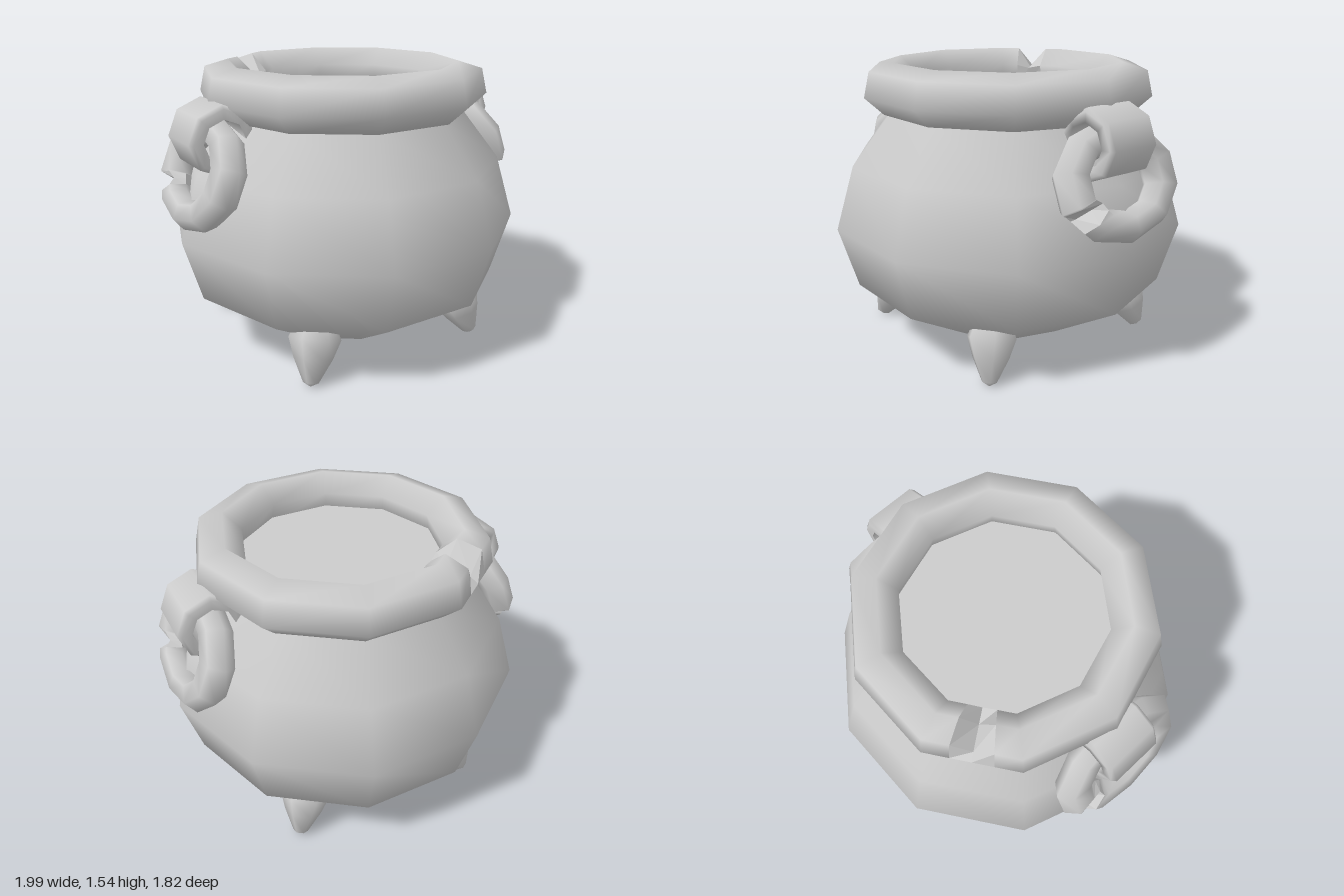
import * as THREE from 'three';

const SIDES = 10, TUBE = 6, DEG = Math.PI / 180;
const grey = new THREE.MeshStandardMaterial({ color: 0xcccccc, side: THREE.DoubleSide });

function mesh(name, geometry) {
  const m = new THREE.Mesh(geometry, grey);
  m.name = name;
  return m;
}

// Skin a row of tube cross-sections (each an array of Vector3).
function skin(sections, flat) {
  const pos = sections.flatMap(s => s.flatMap(p => p.toArray()));
  const index = [];
  for (let i = 0; i < sections.length - 1; i++) {
    for (let j = 0; j < TUBE; j++) {
      const a = i * TUBE + j, b = i * TUBE + (j + 1) % TUBE;
      index.push(a, b, a + TUBE, b, b + TUBE, a + TUBE);
    }
  }
  let g = new THREE.BufferGeometry();
  g.setAttribute('position', new THREE.Float32BufferAttribute(pos, 3));
  g.setIndex(index);
  if (flat) g = g.toNonIndexed();
  g.computeVertexNormals();
  return g;
}

// Ten-sided ring around y, with a V-shaped nick cut into one of its edges.
// dent: direction (radial, axial) the nick comes from; floor: how deep it stays.
function nickedRing(name, { R, r, phase, edge, nick, dent, floor }) {
  const section = (t, dented) => {
    const k = Math.floor(t);
    const corner = (n, rho, y) => {
      const a = n * 2 * Math.PI / SIDES;
      return new THREE.Vector3(rho * Math.cos(a), y, rho * Math.sin(a));
    };
    return Array.from({ length: TUBE }, (_, j) => {
      const phi = phase + j * 2 * Math.PI / TUBE;
      const p = new THREE.Vector2(r * Math.cos(phi), r * Math.sin(phi));
      if (dented) p.addScaledVector(dent, -Math.max(0, p.dot(dent) - floor));
      return corner(k, R + p.x, p.y).lerp(corner(k + 1, R + p.x, p.y), t - k);
    });
  };
  const [start, middle, end] = nick.map(f => edge + f);
  const around = [end];
  for (let k = 1; k <= SIDES; k++) around.push(edge + k);
  around.push(start + SIDES);

  const g = new THREE.Group();
  g.name = name;
  g.add(mesh(name + 'Tube', skin(around.map(t => section(t, false)), false)));
  g.add(mesh(name + 'Nick', skin([section(start), section(middle, true), section(end)], true)));
  return g;
}

const lathe = (points, sides, start = 0) => new THREE.LatheGeometry(
  points.map(([x, y]) => new THREE.Vector2(x, y)), sides, start);

// Ring handle hanging through a strap, on the +x side.
function createHandle() {
  const handle = new THREE.Group();
  handle.name = 'handle';
  const ring = nickedRing('handleRing', {
    R: 0.295, r: 0.105, phase: 0, edge: 1, nick: [0.3, 0.62, 0.95],
    dent: new THREE.Vector2(0.75, 0.66), floor: -0.01,
  });
  ring.scale.set(0.755, 0.78, 1);
  ring.rotation.z = -68 * DEG;
  ring.position.set(0.83, 1.033, 0);

  // Eight-sided strap with bevelled edges
  const strap = mesh('handleStrap', lathe([
    [0.11, -0.155], [0.16, -0.155], [0.18, -0.135], [0.18, 0.135],
    [0.16, 0.155], [0.11, 0.155], [0.11, -0.155],
  ], 8));
  strap.rotation.x = Math.PI / 2;
  strap.position.set(0.76, 1.21, 0);
  handle.add(ring, strap);
  return handle;
}

export function createModel() {
  const model = new THREE.Group();
  model.name = 'cauldron';

  // Pot body, with corners on the x axis
  model.add(mesh('body', lathe([
    [0, 0.08], [0.42, 0.08], [0.86, 0.35], [0.957, 0.68],
    [0.857, 1.015], [0.65, 1.28], [0.64, 1.4],
  ], SIDES, Math.PI / 2)));

  // Flat surface inside the mouth
  const surface = mesh('contents', new THREE.CircleGeometry(0.57, SIDES));
  surface.rotation.x = -Math.PI / 2;
  surface.position.y = 1.36;
  model.add(surface);

  // Thick rim with a nick at the back
  const rim = nickedRing('rim', {
    R: 0.65, r: 0.135, phase: -17 * DEG, edge: 6, nick: [0.28, 0.5, 0.72],
    dent: new THREE.Vector2(0.15, 0.989), floor: 0.005,
  });
  rim.position.y = 1.405;
  model.add(rim);

  // Two handles, half a turn apart
  for (const turn of [0, Math.PI]) {
    const handle = createHandle();
    handle.rotation.y = turn;
    model.add(handle);
  }

  // Four stubby feet splayed outwards
  const footShape = lathe([
    [0, 0], [0.04, 0.02], [0.1, 0.14], [0.135, 0.24], [0.1, 0.32], [0, 0.34],
  ], TUBE);
  for (const sx of [-1, 1]) {
    for (const sz of [-1, 1]) {
      const foot = mesh('foot', footShape);
      foot.position.set(sx * 0.535, 0, sz * 0.545);
      const axis = new THREE.Vector3(-sx * 0.11, 0.34, -sz * 0.11).normalize();
      foot.quaternion.setFromUnitVectors(new THREE.Vector3(0, 1, 0), axis);
      model.add(foot);
    }
  }
  return model;
}
